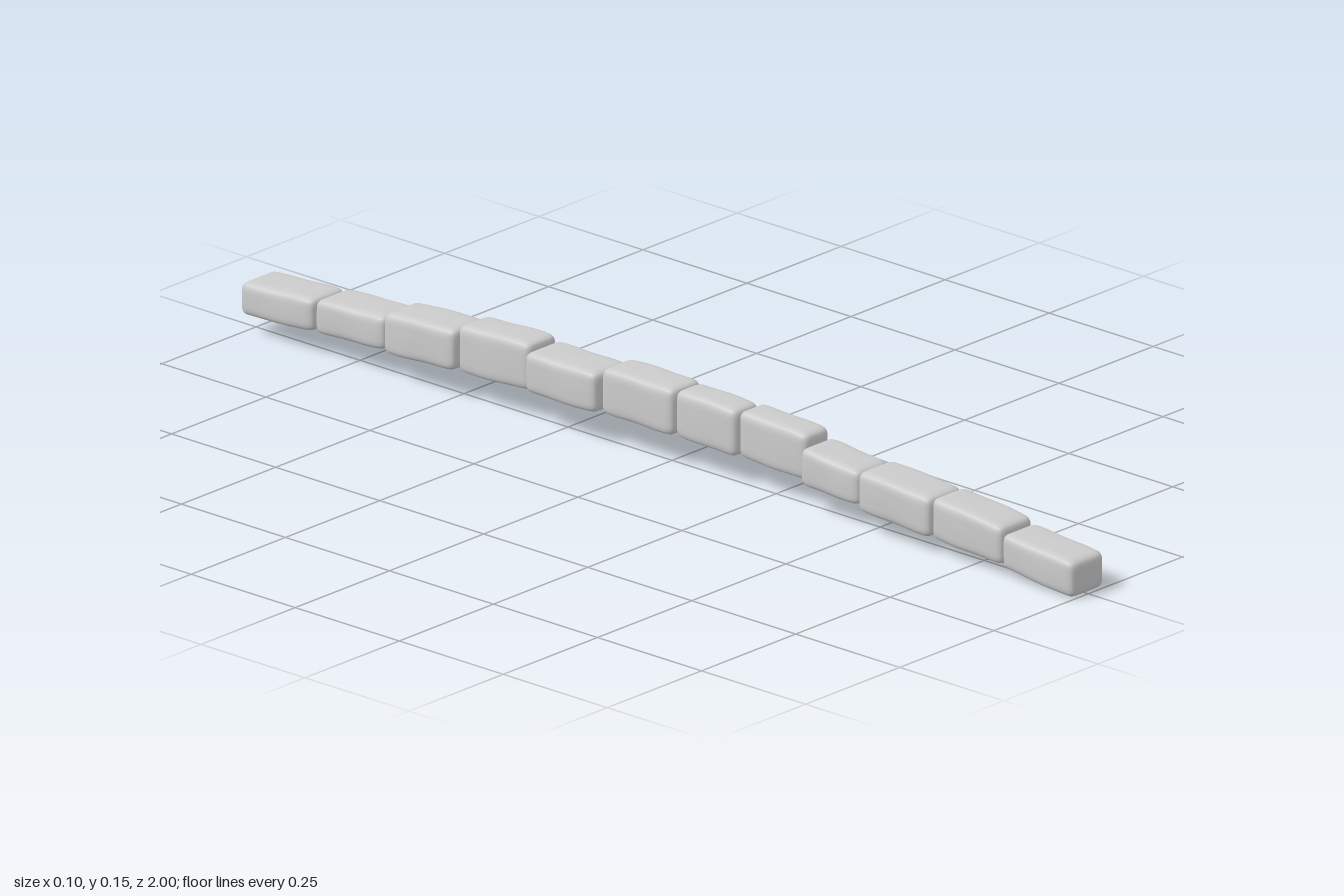
import * as THREE from 'three';
import { mergeVertices } from 'three/addons/utils/BufferGeometryUtils.js';

// One entry per stone: front z, back z, left-most x, right-most x,
// bottom y at front and back, top y at front and back
const STONES = [
  [1.0, 0.828, -0.045, 0.047, 0.0, 0.018, 0.072, 0.086],
  [0.828, 0.658, -0.044, 0.047, 0.02, 0.03, 0.096, 0.112],
  [0.66, 0.486, -0.05, 0.046, 0.031, 0.041, 0.11, 0.12],
  [0.482, 0.34, -0.041, 0.048, 0.045, 0.05, 0.112, 0.125],
  [0.338, 0.174, -0.021, 0.049, 0.05, 0.056, 0.141, 0.148],
  [0.174, 0.028, -0.028, 0.043, 0.055, 0.06, 0.148, 0.152],
  [0.03, -0.143, -0.036, 0.049, 0.061, 0.063, 0.153, 0.153],
  [-0.143, -0.315, -0.05, 0.046, 0.064, 0.064, 0.143, 0.143],
  [-0.315, -0.487, -0.036, 0.047, 0.06, 0.053, 0.153, 0.147],
  [-0.485, -0.656, -0.048, 0.047, 0.058, 0.05, 0.139, 0.131],
  [-0.656, -0.824, -0.044, 0.05, 0.053, 0.045, 0.119, 0.112],
  [-0.824, -1.0, -0.048, 0.047, 0.046, 0.037, 0.111, 0.102],
];
const RADIUS = 0.014;

// Rounded block, sheared to follow the arch, with a slightly worn surface
function stoneGeometry([zf, zb, x0, x1, bf, bb, tf, tb], seed) {
  const geo = new THREE.BoxGeometry(2, 2, 2, 12, 12, 18);
  geo.deleteAttribute('uv');
  geo.deleteAttribute('normal');
  const merged = mergeVertices(geo, 1e-4);
  const pos = merged.attributes.position;
  const half = new THREE.Vector3((x1 - x0) / 2, (tf - bf + tb - bb) / 4, (zf - zb) / 2);
  const inner = half.clone().subScalar(RADIUS);
  const p = new THREE.Vector3(), core = new THREE.Vector3();
  const ease = (s) => Math.sin((s * Math.PI) / 2);
  for (let i = 0; i < pos.count; i++) {
    p.fromBufferAttribute(pos, i);
    p.set(ease(p.x), ease(p.y), ease(p.z)).multiply(half);
    core.copy(p).clamp(inner.clone().negate(), inner);
    p.sub(core).setLength(RADIUS).add(core);

    // worn dents and a gentle taper towards both ends
    const u = p.x / half.x, v = p.y / half.y, w = p.z / half.z;
    const dent = 0.018 * (1 + Math.sin(w * 4 + seed * 1.7 + v * 2)) * (1 - 0.5 * w * w);
    const taper = 0.05 * w ** 4;
    const sx = 1 - taper - dent * Math.abs(v);
    const sy = 1 - taper - dent * Math.abs(u);

    // place between the front and back heights
    const t = (1 - w) / 2;
    const bottom = THREE.MathUtils.lerp(bf, bb, t);
    const top = THREE.MathUtils.lerp(tf, tb, t);
    pos.setXYZ(
      i,
      (x0 + x1) / 2 + u * half.x * sx,
      (bottom + top) / 2 + (v * sy * (top - bottom)) / 2,
      (zf + zb) / 2 + p.z
    );
  }
  merged.computeVertexNormals();
  return merged;
}

export function createModel() {
  const model = new THREE.Group();
  model.name = 'stoneArchRow';
  const material = new THREE.MeshStandardMaterial({ color: 0xcccccc });
  STONES.forEach((stone, i) => {
    const mesh = new THREE.Mesh(stoneGeometry(stone, i), material);
    mesh.name = `stone${i + 1}`;
    model.add(mesh);
  });
  return model;
}
